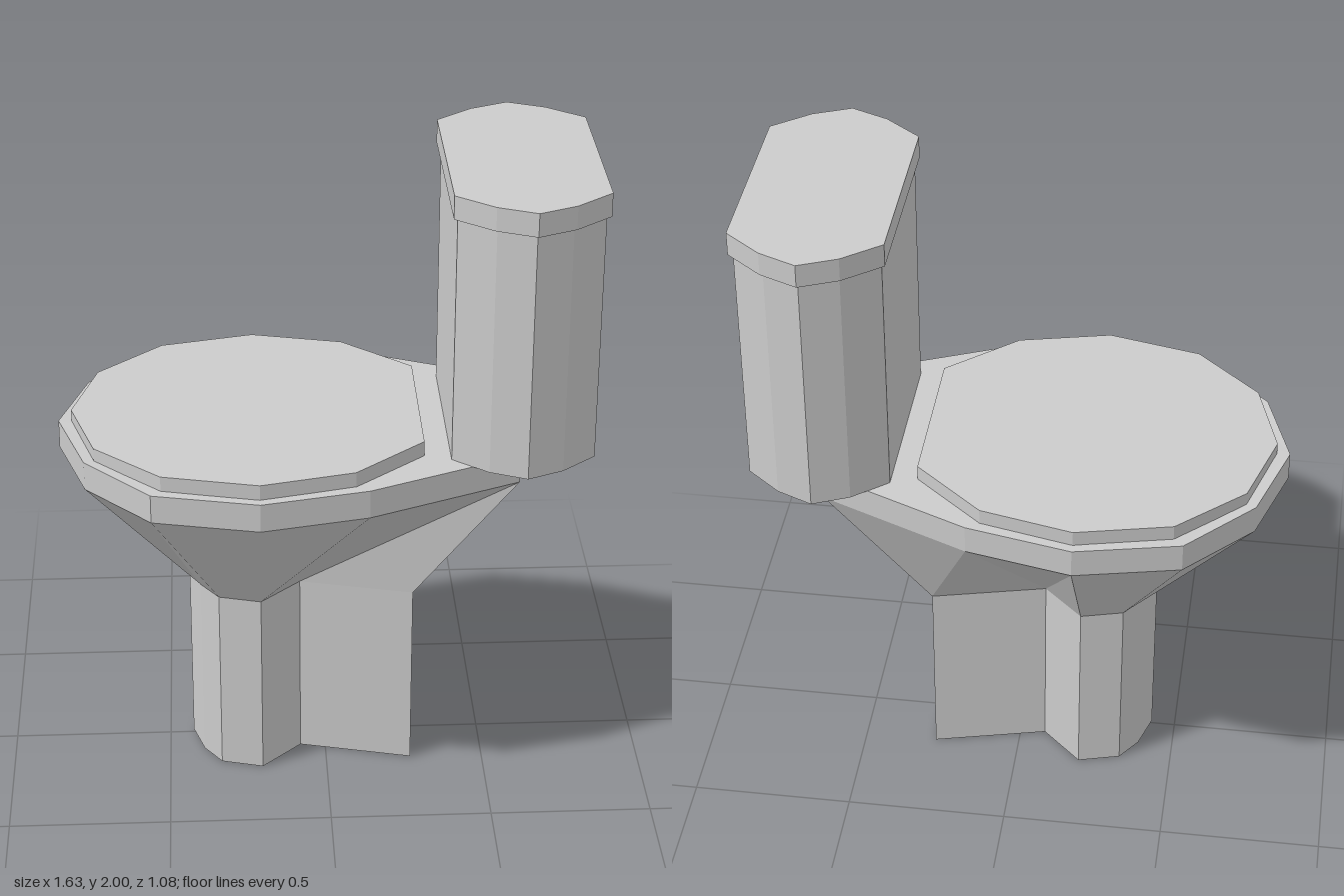
import * as THREE from 'three';

// Full outline from its +z half, running from the bowl tip (-x) to the tank end (+x).
function mirrorOutline(half) {
  const back = half.filter(p => p[1] !== 0).reverse().map(([x, z, lift = 0]) => [x, -z, lift]);
  return [...half, ...back];
}

// Faceted loft through layers of { half, y }; half points are [x, z, optional lift].
function loft(name, layers, material) {
  const rings = layers.map(({ half, y }) =>
    mirrorOutline(half).map(([x, z, lift = 0]) => new THREE.Vector3(x, y + lift, z)));
  const pos = [];
  const tri = (...pts) => pts.forEach(p => pos.push(p.x, p.y, p.z));

  // Side walls
  for (let r = 0; r < rings.length - 1; r++) {
    const lo = rings[r], hi = rings[r + 1], n = lo.length;
    for (let i = 0; i < n; i++) {
      const j = (i + 1) % n;
      tri(lo[i], lo[j], hi[j]);
      tri(lo[i], hi[j], hi[i]);
    }
  }

  // End caps, triangulated because the foot is concave
  const cap = (ring, up) => {
    const flat = ring.map(p => new THREE.Vector2(p.x, -p.z));
    for (const [a, b, c] of THREE.ShapeUtils.triangulateShape(flat, [])) {
      if (up) tri(ring[a], ring[b], ring[c]);
      else tri(ring[a], ring[c], ring[b]);
    }
  };
  cap(rings[0], false);
  cap(rings[rings.length - 1], true);

  const geometry = new THREE.BufferGeometry();
  geometry.setAttribute('position', new THREE.Float32BufferAttribute(pos, 3));
  geometry.computeVertexNormals();
  const mesh = new THREE.Mesh(geometry, material);
  mesh.name = name;
  return mesh;
}

export function createModel() {
  const group = new THREE.Group();
  group.name = 'toilet';
  const grey = new THREE.MeshStandardMaterial({ color: 0xcccccc, flatShading: true });

  // Outlines: pedestal and rim share a point count so they can be lofted together
  const foot = [[-0.425, 0, 0.01], [-0.39, 0.105, 0.005], [-0.335, 0.175], [-0.205, 0.21],
    [-0.08, 0.09], [0.27, 0.175]];
  const rim = [[-0.815, 0, 0.012], [-0.73, 0.27, 0.008], [-0.53, 0.47], [-0.21, 0.54],
    [0.115, 0.47], [0.58, 0.27]];
  const lid = [[-0.775, 0], [-0.7, 0.257], [-0.5, 0.443], [-0.21, 0.51], [0.075, 0.443],
    [0.29, 0.257]];
  const tank = [[0.37, 0.285], [0.475, 0.372], [0.585, 0.42], [0.695, 0.372], [0.8, 0.285]];
  const tankLid = [[0.358, 0.3], [0.47, 0.39], [0.585, 0.44], [0.7, 0.39], [0.812, 0.3]];

  // Pedestal, flared bowl and upright rim in one body
  group.add(loft('bowl', [
    { half: foot, y: 0 },
    { half: foot, y: 0.615 },
    { half: rim, y: 1.052 },
    { half: rim, y: 1.142 },
  ], grey));

  // Closed seat cover
  group.add(loft('seatLid', [{ half: lid, y: 1.13 }, { half: lid, y: 1.19 }], grey));

  // Water tank and its overhanging cover
  group.add(loft('tank', [{ half: tank, y: 1.142 }, { half: tank, y: 1.93 }], grey));
  group.add(loft('tankLid', [{ half: tankLid, y: 1.927 }, { half: tankLid, y: 2 }], grey));

  return group;
}
